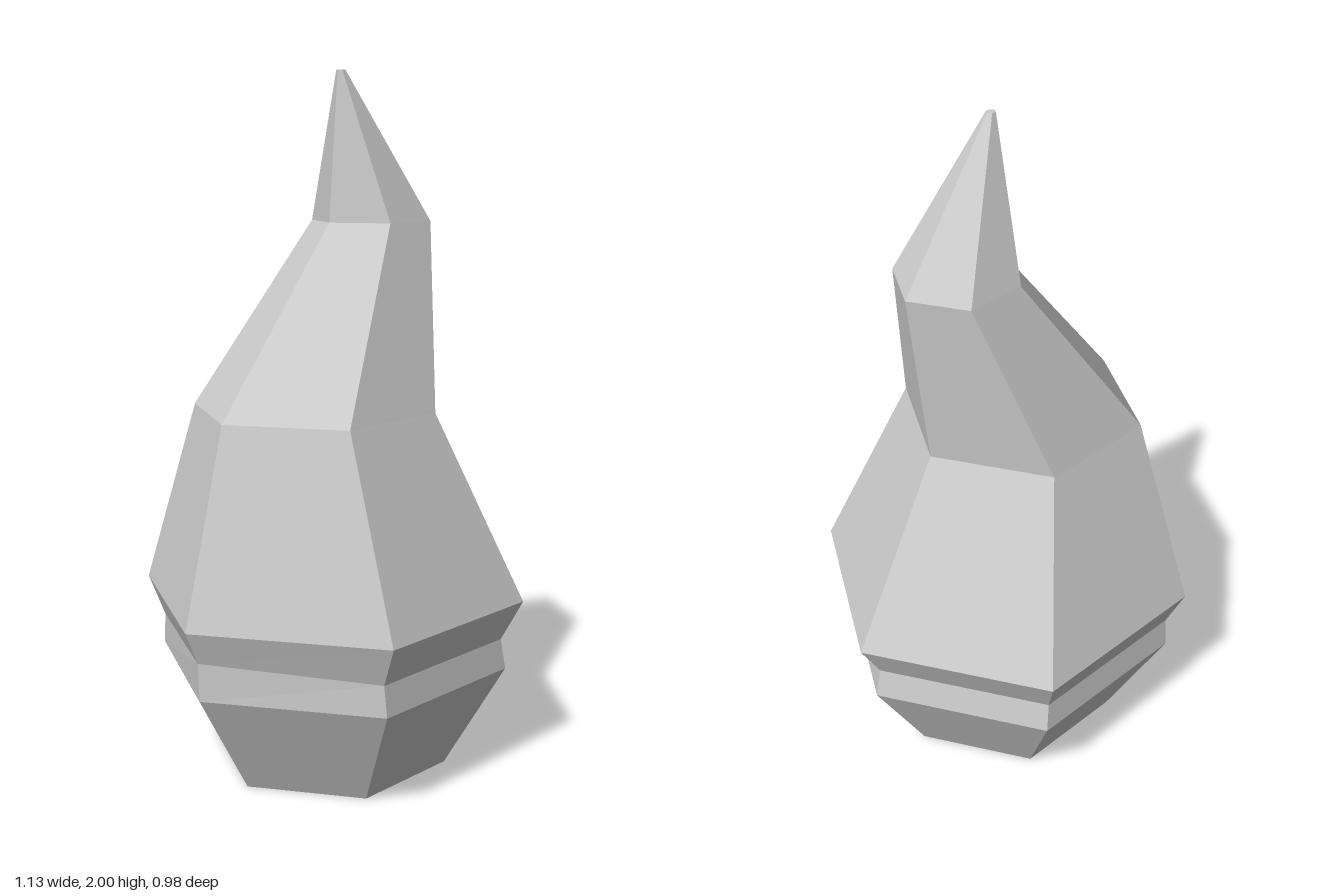
import * as THREE from 'three';

const SIDES = 6;

// Hexagonal rings from base to tip: [height, centre x, radius]
const RINGS = [
  [0, 0, 0.345],
  [0.305, 0, 0.52],
  [0.395, -0.008, 0.51],
  [0.51, 0, 0.567],
  [1.06, -0.073, 0.352],
  [1.58, 0.17, 0.175],
  [2, 0.042, 0.013],
];

function ringPoints([y, cx, r]) {
  return Array.from({ length: SIDES }, (_, k) => {
    const a = (k / SIDES) * Math.PI * 2;
    return [cx + r * Math.cos(a), y, r * Math.sin(a)];
  });
}

// Skin a stack of rings with flat faces and close both ends
function loftGeometry(rings) {
  const pos = [];
  const tri = (a, b, c) => pos.push(...a, ...b, ...c);
  for (let i = 0; i < rings.length - 1; i++) {
    const lo = rings[i], hi = rings[i + 1];
    for (let k = 0; k < SIDES; k++) {
      const n = (k + 1) % SIDES;
      tri(lo[n], lo[k], hi[k]);
      tri(lo[n], hi[k], hi[n]);
    }
  }
  const base = rings[0], tip = rings[rings.length - 1];
  for (let k = 1; k < SIDES - 1; k++) {
    tri(base[0], base[k], base[k + 1]);
    tri(tip[0], tip[k + 1], tip[k]);
  }
  const geo = new THREE.BufferGeometry();
  geo.setAttribute('position', new THREE.Float32BufferAttribute(pos, 3));
  geo.computeVertexNormals();
  return geo;
}

export function createModel() {
  const group = new THREE.Group();
  group.name = 'twistedFlame';

  const grey = new THREE.MeshStandardMaterial({ color: 0xcccccc });
  grey.name = 'light grey';

  const rings = RINGS.map(ringPoints);
  rings[2][3] = [-0.525, 0.415, 0]; // slightly uneven groove corner

  // Faceted bulb, groove and bent tip in one skin
  const body = new THREE.Mesh(loftGeometry(rings), grey);
  body.name = 'flameBody';
  group.add(body);
  return group;
}
